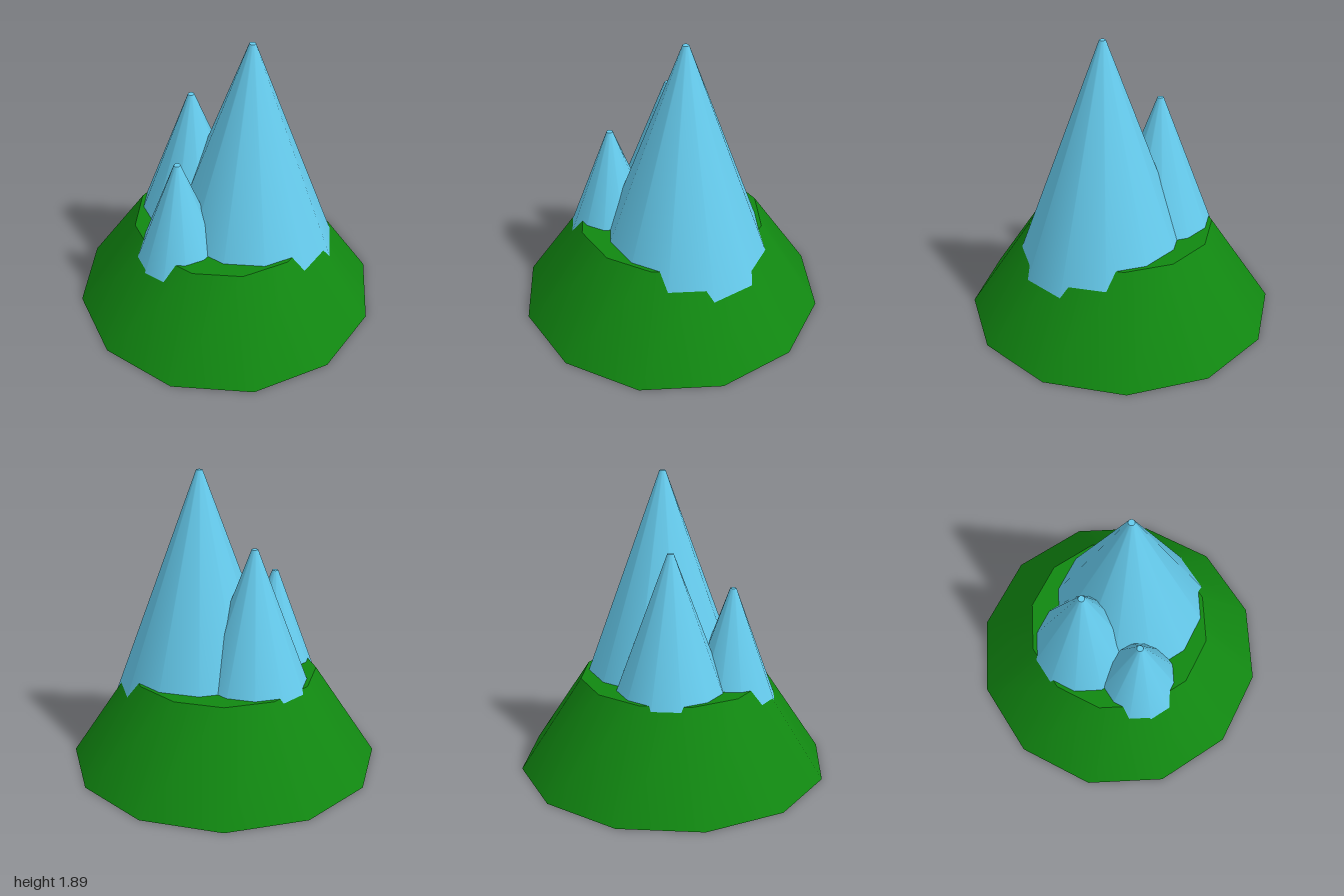
import * as THREE from 'three';

const SIDES = 12;

// Truncated twelve-sided cone standing at (x, z), from height y0 up to y1
function frustum(name, material, { x = 0, z = 0, y0 = 0, y1, bottom, top }) {
  const geometry = new THREE.CylinderGeometry(top, bottom, y1 - y0, SIDES);
  const mesh = new THREE.Mesh(geometry, material);
  mesh.name = name;
  mesh.position.set(x, (y0 + y1) / 2, z);
  return mesh;
}

export function createModel() {
  const group = new THREE.Group();
  group.name = 'mountain';
  const green = new THREE.MeshStandardMaterial({ color: 0x118811 });
  const blue = new THREE.MeshStandardMaterial({ color: 0x66ccee });

  // Wide flat-topped hill
  group.add(frustum('hill', green, { y1: 0.6, bottom: 1, top: 0.6 }));

  // Crystal peaks, sunk into the hill so that their lower edges break through its slopes
  const peaks = [
    { name: 'mainPeak', x: 0.11, z: 0.11, y1: 1.89, slope: 0.367 },
    { name: 'backPeak', x: -0.07, z: -0.25, y1: 1.45, slope: 0.376 },
    { name: 'sidePeak', x: -0.39, z: 0.01, y1: 1.2, slope: 0.368 },
  ];
  const y0 = 0.3, top = 0.02;
  for (const { name, x, z, y1, slope } of peaks) {
    group.add(frustum(name, blue, { x, z, y0, y1, top, bottom: top + slope * (y1 - y0) }));
  }
  return group;
}
